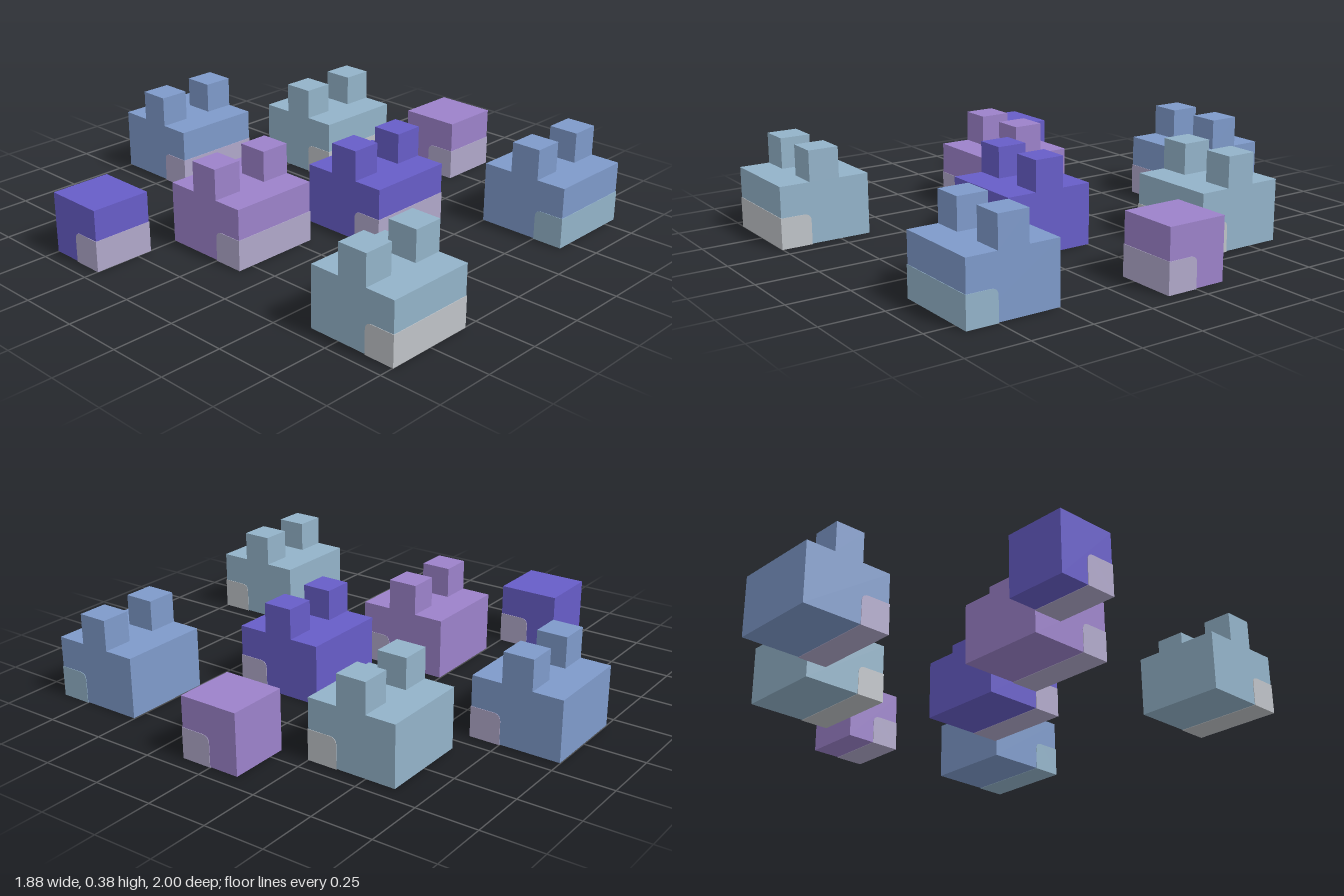
import * as THREE from 'three';

const mat = (name, color) => {
  const m = new THREE.MeshStandardMaterial({ color });
  m.name = name;
  return m;
};

export function createModel() {
  const blue = mat('blue', 0x7e9aca);
  const teal = mat('teal', 0x93b3c9);
  const lilac = mat('lilac', 0x9c82ca);
  const indigo = mat('indigo', 0x675dc8);
  const mauve = mat('mauve', 0xb0a8ca);
  const grey = mat('grey', 0xbfc3c8);
  const lift = 0.002; // how far the belly patch stands proud

  const add = (parent, name, geometry, material) => {
    const mesh = new THREE.Mesh(geometry, material);
    mesh.name = name;
    parent.add(mesh);
    return mesh;
  };

  // Belly patch: wraps the lower front, with a rounded upper rear corner on the sides
  const bellyGeometry = (width) => {
    const d = 0.125, h = 0.125, r = 0.03;
    const s = new THREE.Shape();
    s.moveTo(-lift, 0);
    s.lineTo(d, 0);
    s.lineTo(d, h - r);
    s.quadraticCurveTo(d, h, d - r, h);
    s.lineTo(-lift, h);
    s.closePath();
    const depth = width + lift * 2;
    const g = new THREE.ExtrudeGeometry(s, { depth, bevelEnabled: false, curveSegments: 5 });
    return g.translate(0, 0, -depth / 2).rotateY(Math.PI / 2);
  };

  // One creature: square body, belly patch and, on the large ones, two ears
  const creature = (name, x, z, width, coat, belly, hasEars) => {
    const g = new THREE.Group();
    g.name = name;
    g.position.set(x, 0, z);
    add(g, 'body', new THREE.BoxGeometry(width, 0.25 - lift, width), coat)
      .position.y = (0.25 + lift) / 2;
    add(g, 'bellyPatch', bellyGeometry(width), belly).position.z = width / 2;
    if (hasEars) {
      for (const side of [-1, 1]) {
        add(g, side > 0 ? 'leftEar' : 'rightEar', new THREE.BoxGeometry(0.125, 0.125, 0.125), coat)
          .position.set(side * 0.125, 0.3125, 0);
      }
    }
    return g;
  };

  const model = new THREE.Group();
  model.name = 'blockCreatures';
  model.add(
    creature('backBlueBlock', 0, -0.8125, 0.375, blue, mauve, true),
    creature('backTealBlock', 0.5, -0.4375, 0.375, teal, grey, true),
    creature('lilacBlock', -0.375, -0.0625, 0.375, lilac, mauve, true),
    creature('indigoBlock', 0.125, 0.1875, 0.375, indigo, mauve, true),
    creature('frontBlueBlock', 0.625, 0.6875, 0.375, blue, teal, true),
    creature('frontTealBlock', -0.5, 0.8125, 0.375, teal, grey, true),
    creature('smallIndigoBlock', -0.8125, -0.375, 0.25, indigo, mauve, false),
    creature('smallLilacBlock', 0.8125, 0, 0.25, lilac, mauve, false),
  );
  return model;
}
